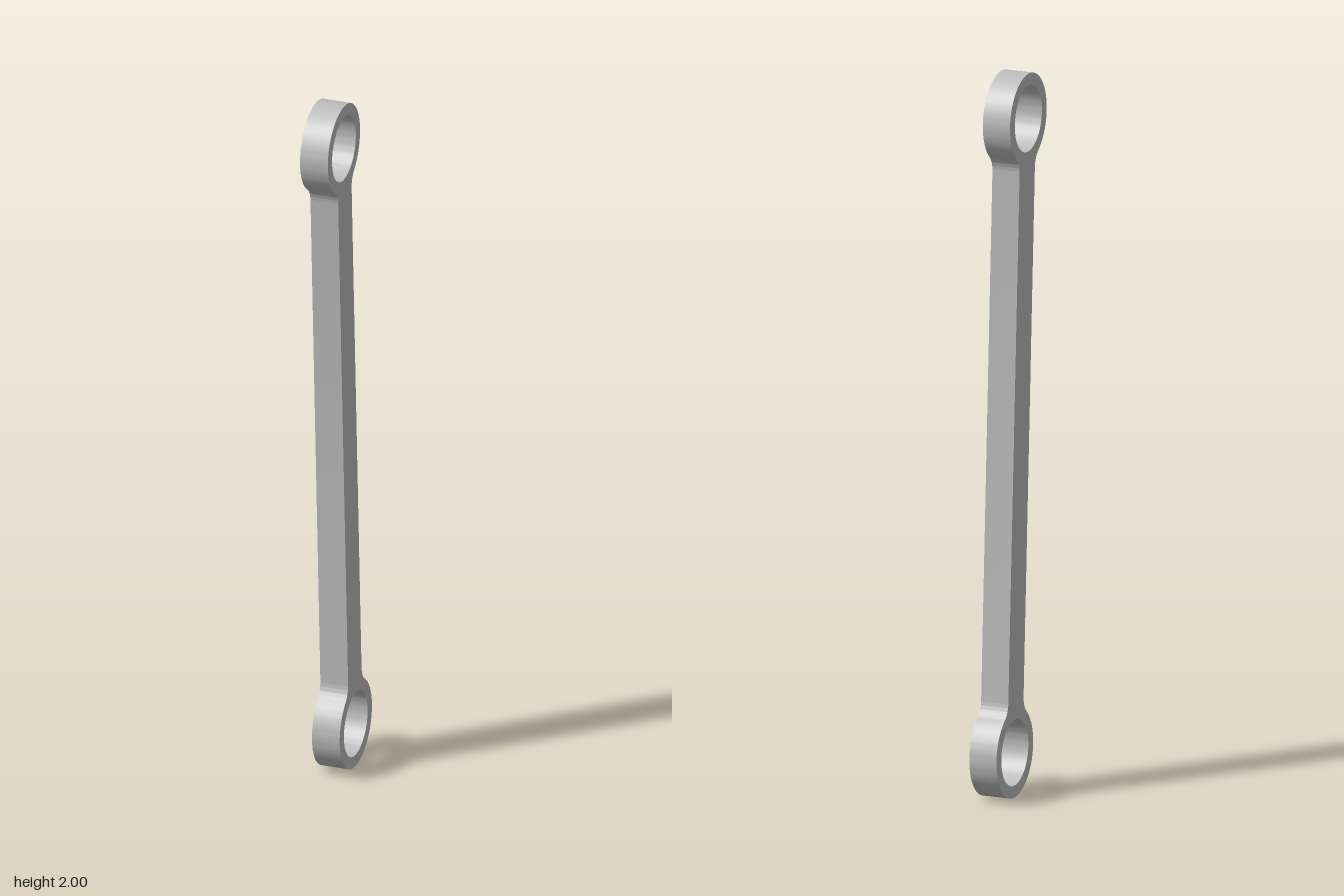
import * as THREE from 'three';
import { toCreasedNormals } from 'three/addons/utils/BufferGeometryUtils.js';

export function createModel() {
  const group = new THREE.Group();
  group.name = 'connectingRod';
  const steel = new THREE.MeshStandardMaterial({ color: 0xbfbfbf });
  steel.name = 'grey steel';

  const outer = 0.125, bore = 0.092;   // eye radii
  const half = 0.052, fillet = 0.055;  // bar half width, neck fillet radius
  const thickness = 0.08;
  const dz = 0.046, dy = 0.875;        // upper eye centre from the middle
  const reach = Math.hypot(dz, dy);

  // Fillet centre relative to the eye, and the angle where they touch
  const fx = half + fillet;
  const fy = Math.sqrt((outer + fillet) ** 2 - fx ** 2);
  const a = Math.atan2(fy, fx);
  const neck = reach - fy;

  // Outline: two round eyes blended into a straight bar
  const outline = new THREE.Shape();
  outline.absarc(0, reach, outer, -a, Math.PI + a, false);
  outline.absarc(-fx, neck, fillet, a, 0, true);
  outline.absarc(-fx, -neck, fillet, 0, -a, true);
  outline.absarc(0, -reach, outer, Math.PI - a, 2 * Math.PI + a, false);
  outline.absarc(fx, -neck, fillet, Math.PI + a, Math.PI, true);
  outline.absarc(fx, neck, fillet, Math.PI, Math.PI - a, true);

  // Bores through both eyes
  for (const side of [1, -1]) {
    const hole = new THREE.Path();
    hole.absarc(0, side * reach, bore, 0, Math.PI * 2, true);
    outline.holes.push(hole);
  }

  // Extrude across x, then lean the rod forward
  const solid = new THREE.ExtrudeGeometry(outline, { depth: thickness, bevelEnabled: false, curveSegments: 40 });
  solid.translate(0, 0, -thickness / 2);
  solid.rotateY(-Math.PI / 2);
  solid.rotateX(Math.atan2(dz, dy));
  solid.translate(0, dy + outer, 0);

  const rod = new THREE.Mesh(toCreasedNormals(solid, Math.PI / 6), steel);
  rod.name = 'rodWithEyes';
  group.add(rod);
  return group;
}
